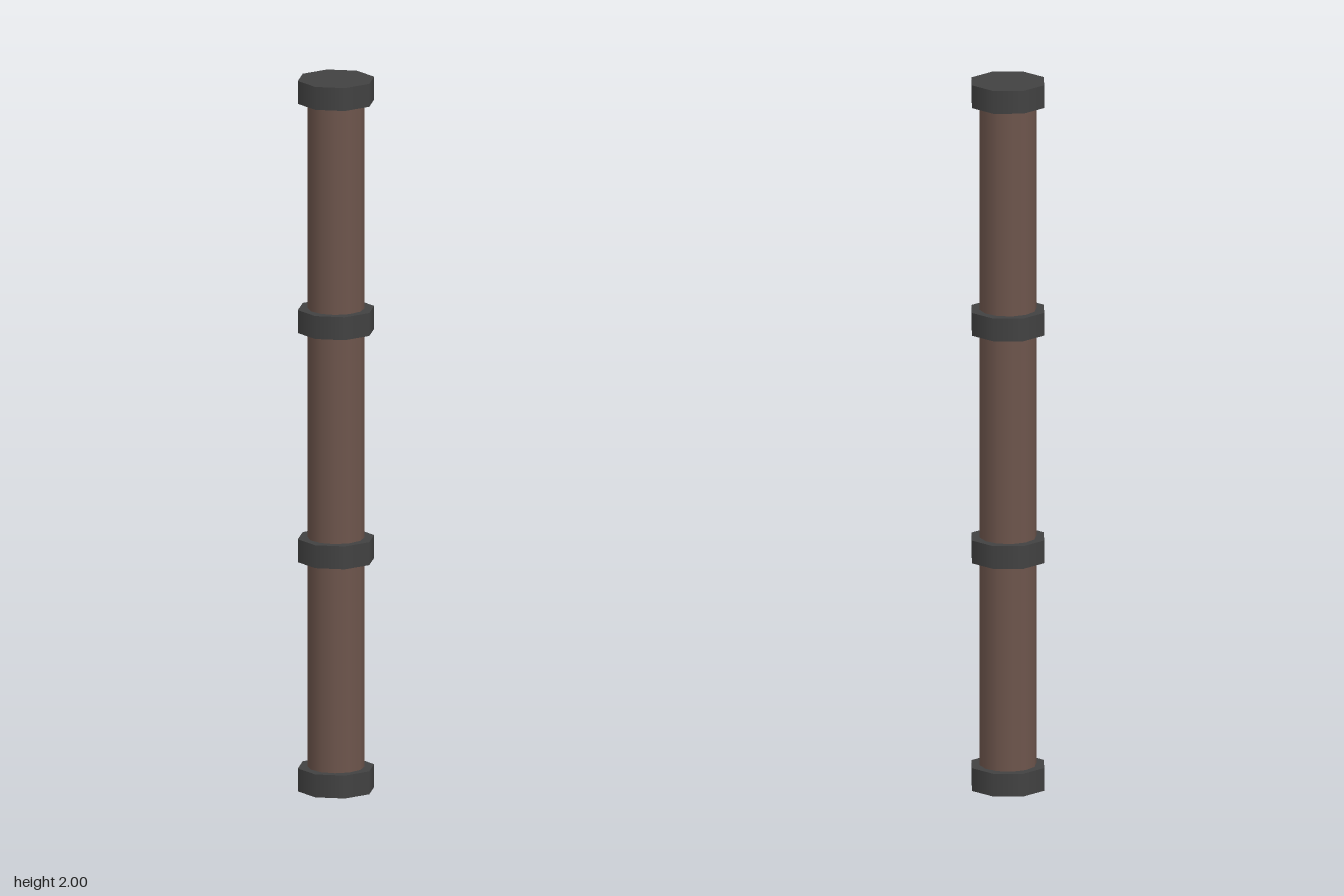
import * as THREE from 'three';

export function createModel() {
  const group = new THREE.Group();
  const brown = new THREE.MeshStandardMaterial({ color: 0x6d554c });
  brown.name = 'brown';
  const darkGrey = new THREE.MeshStandardMaterial({ color: 0x424242 });
  darkGrey.name = 'darkGrey';

  const collarHeight = 2 / 31;
  const spacing = 20 / 31;

  // Round shaft running between the centres of the end collars
  const shaft = new THREE.Mesh(new THREE.CylinderGeometry(0.078, 0.078, 3 * spacing, 12), brown);
  shaft.name = 'shaft';
  shaft.position.y = 1;
  group.add(shaft);

  // Four evenly spaced eight-sided collars, two of them closing the ends
  const collarGeometry = new THREE.CylinderGeometry(0.107, 0.107, collarHeight, 8);
  for (let i = 0; i < 4; i++) {
    const collar = new THREE.Mesh(collarGeometry, darkGrey);
    collar.name = i === 0 ? 'bottomCollar' : i === 3 ? 'topCollar' : `middleCollar${i}`;
    collar.position.y = collarHeight / 2 + i * spacing;
    group.add(collar);
  }
  return group;
}
